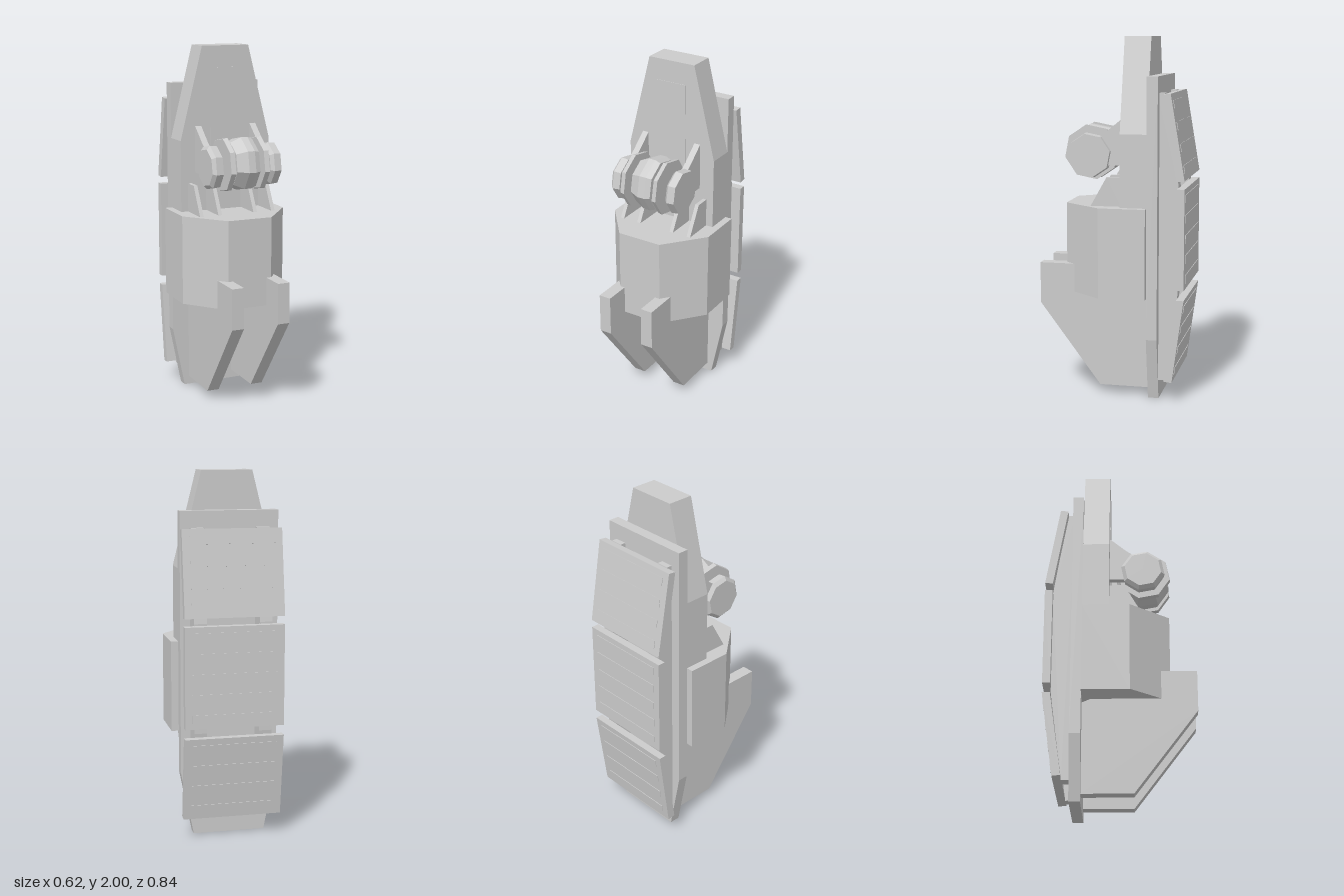
import * as THREE from 'three';

const mat = new THREE.MeshStandardMaterial({ color: 0xcccccc, flatShading: true });

function makeShape(points) {
  return new THREE.Shape(points.map(([a, b]) => new THREE.Vector2(a, b)));
}

function extrude(points, depth) {
  return new THREE.ExtrudeGeometry(makeShape(points), { depth, bevelEnabled: false });
}

// Side profile given as [z, y], extruded across x and centred on x
function sidePlate(points, width, x = 0) {
  return extrude(points, width).translate(0, 0, -width / 2).rotateY(-Math.PI / 2).translate(x, 0, 0);
}

// Front outline given as [x, y], spanning z0 to z1
function frontPlate(points, z0, z1) {
  return extrude(points, z1 - z0).translate(0, 0, z0);
}

// Mirror a half outline to the -x side
function mirrored(half) {
  return [...half, ...half.map(([x, y]) => [-x, y]).reverse()];
}

// Solid of revolution about the x axis, profile given as [x, radius]
function roller(profile, sides, y, z) {
  const pts = [[profile[0][0], 0], ...profile, [profile[profile.length - 1][0], 0]];
  return new THREE.LatheGeometry(pts.map(([x, r]) => new THREE.Vector2(r, x)), sides)
    .rotateZ(-Math.PI / 2).rotateX(0.2).translate(0, y, z);
}

export function createModel() {
  const group = new THREE.Group();
  const add = (name, geometry) => {
    const mesh = new THREE.Mesh(geometry, mat);
    mesh.name = name;
    group.add(mesh);
    return mesh;
  };

  // Main body
  add('backPlate', frontPlate(mirrored([[0.2, 0], [0.27, 0.35], [0.27, 1.79]]), -0.26, -0.2));
  add('upperSpine', frontPlate(mirrored([[0.27, 1.0], [0.27, 1.48], [0.14, 2]]), -0.2, -0.053));
  add('spinePanel', frontPlate(mirrored([[0.09, 1.06], [0.09, 1.88]]), -0.056, -0.05));
  add('torsoBlock', extrude(mirrored([[0.31, 0.2], [0.31, -0.06], [0.13, -0.28]]), 0.5)
    .rotateX(-Math.PI / 2).translate(0, 0.58, 0));

  // Paired side plates
  const prong = [[-0.2, 0.05], [0.08, 0.05], [0.425, 0.51], [0.425, 0.74], [0.22, 0.74], [-0.2, 0.56]];
  const fin = [[-0.055, 1.07], [0.125, 1.07], [0.03, 1.24], [-0.055, 1.24]];
  const arm = [[-0.055, 1.3], [0.09, 1.3], [0.09, 1.45], [0.045, 1.48], [-0.05, 1.56]];
  const strut = [[-0.25, 0.11], [-0.3, 0.11], [-0.365, 0.6], [-0.367, 1.2], [-0.29, 1.7], [-0.25, 1.7]];
  for (const s of [-1, 1]) {
    add('lowerProng', sidePlate(prong, 0.07, s * 0.137));
    add('outerFin', sidePlate(fin, 0.022, s * 0.217));
    add('innerFin', sidePlate(fin, 0.022, s * 0.107));
    add('rollerArm', sidePlate(arm, 0.036, s * 0.166));
    add('padStrut', sidePlate(strut, 0.07, s * 0.18));
    // Faceted rollers and thin discs between them
    add('outerRoller', roller([[-0.03, 0.105], [-0.012, 0.125], [0.03, 0.12]], 8, 1.355, 0.135)
      .translate(s * 0.173, 0, 0));
    add('rollerDisc', roller([[-0.013, 0.15], [0.013, 0.155]], 8, 1.365, 0.14)
      .translate(s * 0.1, 0, 0));
  }
  add('centreRoller', roller([[-0.065, 0.125], [-0.005, 0.153], [0.035, 0.153], [0.065, 0.14]], 8, 1.365, 0.135));

  // Back pads: inner-to-outer profile corners as [z, y], with raised ribs
  const pads = [
    { name: 'lowerPad', outer: [[-0.345, 0.115], [-0.408, 0.58]], inner: [[-0.3, 0.12], [-0.365, 0.58]], ribs: 4 },
    { name: 'middlePad', outer: [[-0.408, 0.635], [-0.408, 1.19]], inner: [[-0.365, 0.635], [-0.365, 1.19]], ribs: 5 },
    { name: 'upperPad', outer: [[-0.408, 1.235], [-0.33, 1.7]], inner: [[-0.365, 1.23], [-0.287, 1.695]], ribs: 4 },
  ];
  for (const { name, outer: [low, high], inner, ribs } of pads) {
    add(name, sidePlate([low, high, inner[1], inner[0]], 0.545));
    const dz = high[0] - low[0], dy = high[1] - low[1];
    for (let i = 0; i < ribs; i++) {
      const t = (i + 0.5) / ribs;
      const rib = add(name + 'Rib', new THREE.BoxGeometry(0.465, 0.045, 0.006));
      rib.position.set(0, low[1] + dy * t, low[0] + dz * t);
      rib.rotation.x = Math.atan2(dz, dy);
    }
  }
  return group;
}
